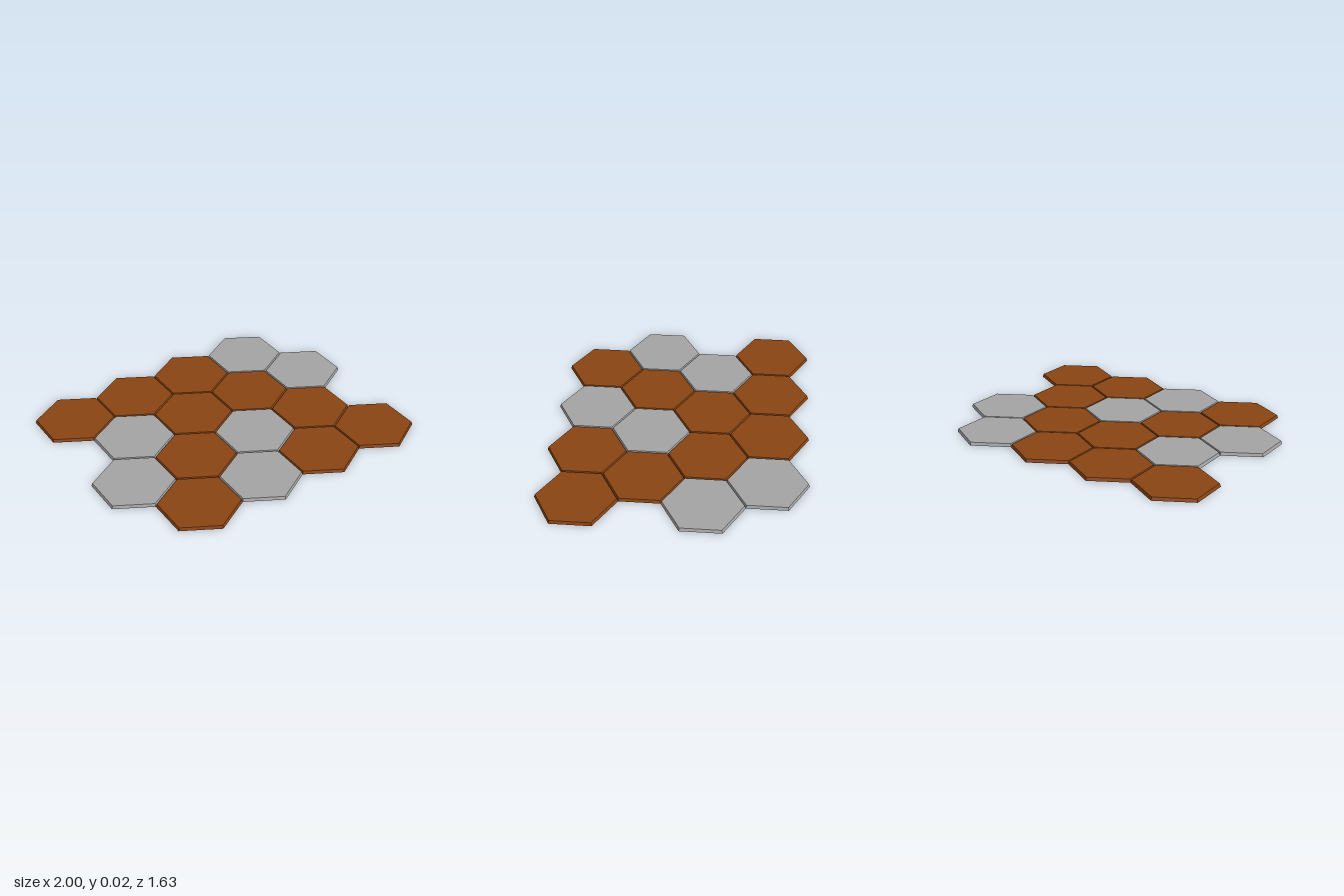
import * as THREE from 'three';

const WIDTH = 4 / 9;               // flat-to-flat width of one tile
const RADIUS = WIDTH / Math.sqrt(3);
const HEIGHT = 0.02;
const DEPTH_SCALE = 0.976;         // tiles are slightly shortened along z

// Layout from back row to front row: B = brown, G = grey
const ROWS = ['BBBG', 'GBBG', 'GBGB', 'BGBB'];

export function createModel() {
  const group = new THREE.Group();
  group.name = 'hexTileFloor';

  const brown = new THREE.MeshStandardMaterial({ color: 0x8b4513 });
  brown.name = 'brown';
  const grey = new THREE.MeshStandardMaterial({ color: 0xa6a6a6 });
  grey.name = 'grey';

  // Thin hexagonal slab with a slightly narrower top; flat faces
  const tile = new THREE.CylinderGeometry(RADIUS * 0.973, RADIUS, HEIGHT, 6)
    .scale(1, 1, DEPTH_SCALE)
    .translate(0, HEIGHT / 2, 0)
    .toNonIndexed();
  tile.computeVertexNormals();

  // Staggered rows: odd rows shift by half a tile
  const rowStep = 1.5 * RADIUS * DEPTH_SCALE;
  ROWS.forEach((row, r) => {
    [...row].forEach((code, c) => {
      const isBrown = code === 'B';
      const mesh = new THREE.Mesh(tile, isBrown ? brown : grey);
      mesh.name = `${isBrown ? 'brown' : 'grey'}Tile_${r + 1}_${c + 1}`;
      mesh.position.set((c - 1.75 + (r % 2) * 0.5) * WIDTH, 0, (r - 1.5) * rowStep);
      group.add(mesh);
    });
  });

  return group;
}
